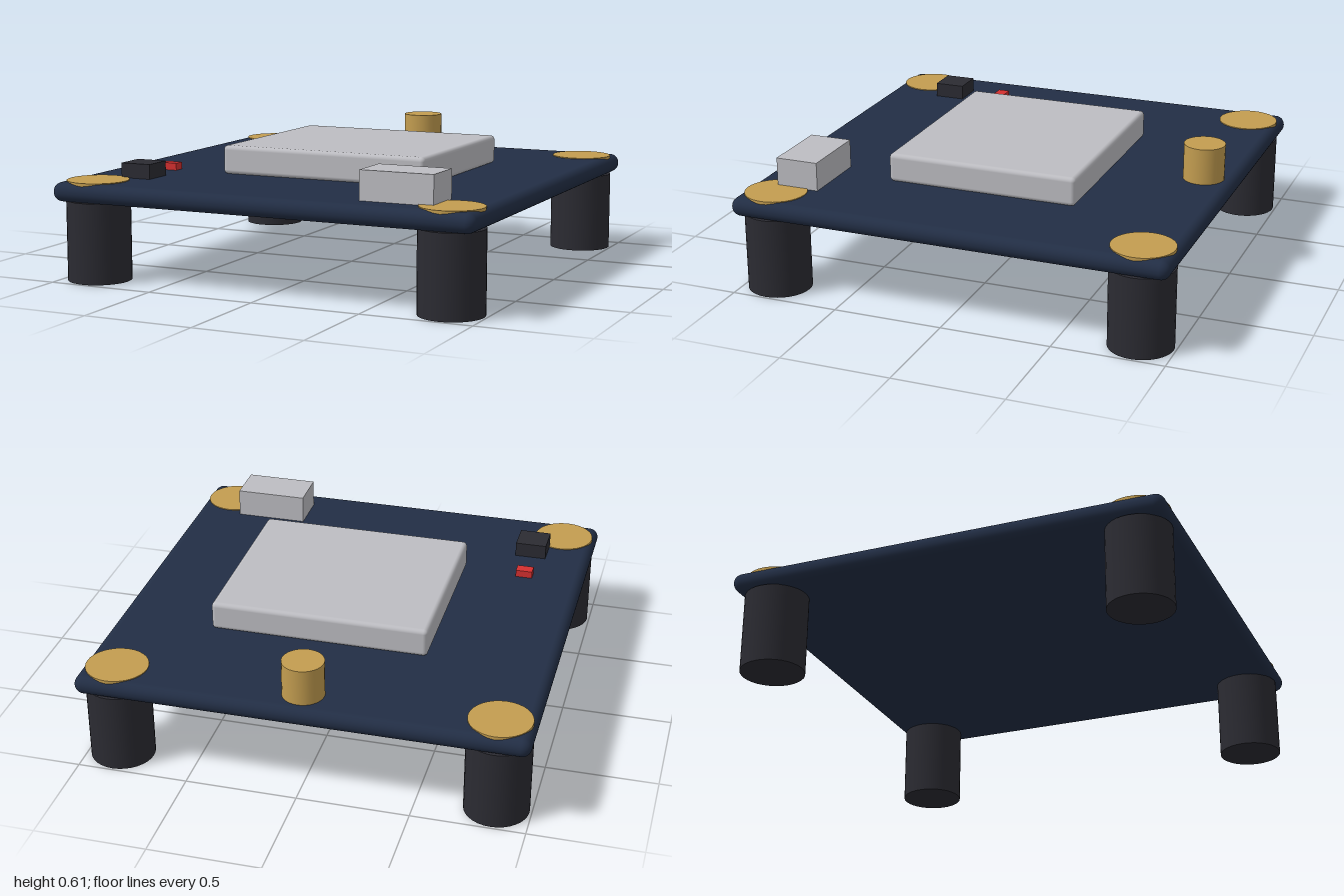
import * as THREE from 'three';
import { RoundedBoxGeometry } from 'three/addons/geometries/RoundedBoxGeometry.js';

const paint = (name, color) => {
  const m = new THREE.MeshStandardMaterial({ color });
  m.name = name;
  return m;
};

export function createModel() {
  const group = new THREE.Group();
  const navy = paint('navy board', 0x222e45);
  const gold = paint('gold', 0xc39d50);
  const silver = paint('silver', 0xbdbdc2);
  const dark = paint('dark plastic', 0x2b2b32);
  const red = paint('red', 0xd43030);

  const add = (name, geometry, material, x, y, z) => {
    const mesh = new THREE.Mesh(geometry, material);
    mesh.name = name;
    mesh.position.set(x, y, z);
    group.add(mesh);
  };
  // Box given by its extents on each axis; r rounds the edges
  const box = (name, material, [x0, x1], [y0, y1], [z0, z1], r = 0) => {
    const size = [x1 - x0, y1 - y0, z1 - z0];
    const geometry = r ? new RoundedBoxGeometry(...size, 4, r) : new THREE.BoxGeometry(...size);
    add(name, geometry, material, (x0 + x1) / 2, (y0 + y1) / 2, (z0 + z1) / 2);
  };
  const cylinder = (name, material, r, y0, y1, x, z) =>
    add(name, new THREE.CylinderGeometry(r, r, y1 - y0, 32), material, x, (y0 + y1) / 2, z);

  // Circuit board with rounded rim
  box('board', navy, [-1, 1], [0.362, 0.448], [-1, 1], 0.042);

  // Standoff feet and mounting pads at the corners
  for (const x of [-0.847, 0.847]) {
    for (const z of [-0.847, 0.847]) {
      cylinder('foot', dark, 0.143, 0, 0.363, x, z);
      cylinder('mountingPad', gold, 0.139, 0.436, 0.452, x, z);
    }
  }

  // Components on the upper face
  box('shieldCan', silver, [-0.442, 0.55], [0.447, 0.578], [-0.442, 0.438], 0.02);
  box('connector', silver, [0.445, 0.777], [0.447, 0.578], [0.68, 0.876]);
  box('button', dark, [-0.795, -0.65], [0.447, 0.515], [0.594, 0.735]);
  box('indicatorLight', red, [-0.765, -0.688], [0.447, 0.481], [0.385, 0.438]);
  cylinder('antennaPost', gold, 0.093, 0.447, 0.613, 0, -0.861);

  return group;
}
